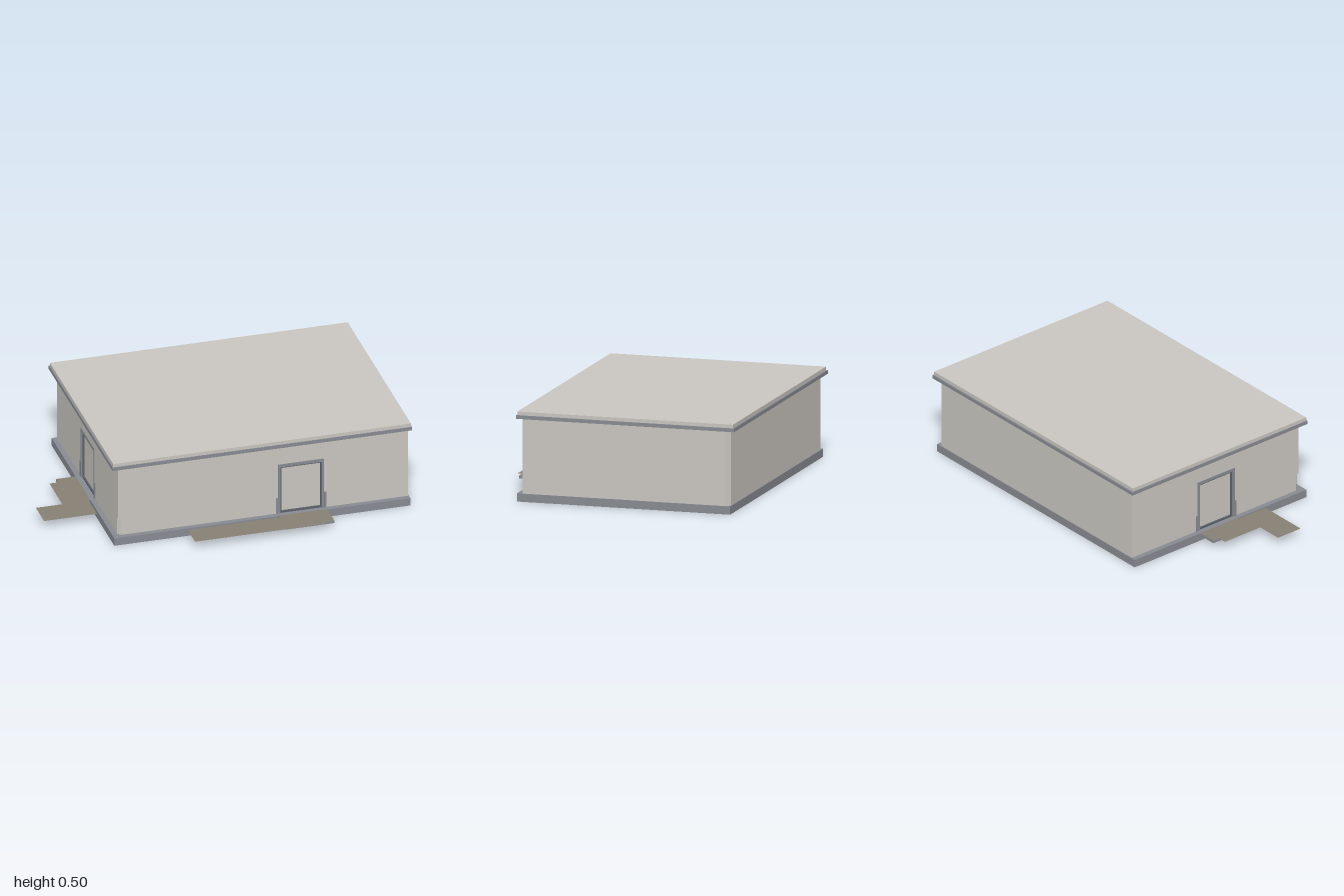
import * as THREE from 'three';

const mat = (name, color, side = THREE.FrontSide) => {
  const m = new THREE.MeshStandardMaterial({ color, side });
  m.name = name;
  return m;
};

export function createModel() {
  const model = new THREE.Group();
  model.name = 'building';
  const wall = mat('warm plaster', 0xc9c6c0);
  const trim = mat('slate trim', 0x878a91);
  const dark = mat('dark frame', 0x5c616a);
  const paving = mat('brown paving', 0x877f74, THREE.DoubleSide);

  // Box given by its minimum and maximum corners
  const box = (name, material, [x0, y0, z0], [x1, y1, z1], parent = model) => {
    const g = new THREE.BoxGeometry(x1 - x0, y1 - y0, z1 - z0);
    g.translate((x0 + x1) / 2, (y0 + y1) / 2, (z0 + z1) / 2);
    const m = new THREE.Mesh(g, material);
    m.name = name;
    parent.add(m);
  };

  // Floor plan of [x, z] corners raised from y0 to y1
  const storey = (name, points, y0, y1) => {
    const shape = new THREE.Shape(points.map(([x, z]) => new THREE.Vector2(x, -z)));
    const g = new THREE.ExtrudeGeometry(shape, { depth: y1 - y0, bevelEnabled: false });
    g.rotateX(-Math.PI / 2).translate(0, y0, 0);
    const m = new THREE.Mesh(g, wall);
    m.name = name;
    model.add(m);
  };

  // Foundation and two-step flat roof
  box('foundation', trim, [-0.69, 0, -0.675], [0.985, 0.045, 0.54]);
  box('eaves', trim, [-0.7, 0.46, -0.7], [0.995, 0.48, 0.54]);
  box('roof', wall, [-0.695, 0.48, -0.692], [0.99, 0.5, 0.535]);

  // Walls, with a recess for each door and a clipped lower corner
  const X0 = -0.66, X1 = 0.98, Z0 = -0.67, Z1 = 0.51, c = 0.025, d = 0.025;
  const back = [[X0, Z0], [X1 - c, Z0], [X1, Z0 + c], [X1, Z1]];
  const frontRecess = [[0.495, Z1], [0.495, Z1 - d], [0.255, Z1 - d], [0.255, Z1]];
  const sideRecess = [[X0, 0.045], [X0 + d, 0.045], [X0 + d, -0.195], [X0, -0.195]];
  const corner = [[X0, Z1]], clipped = [[X0 + 0.018, Z1], [X0, Z1 - 0.018]];
  storey('lowerWalls', [...back, ...frontRecess, ...clipped, ...sideRecess], 0.045, 0.145);
  storey('middleWalls', [...back, ...frontRecess, ...corner, ...sideRecess], 0.145, 0.33);
  storey('upperWalls', [...back, ...corner], 0.33, 0.46);

  // Doorway around x = 0 facing +z, its wall face on z = 0
  const doorway = (name) => {
    const g = new THREE.Group();
    g.name = name;
    for (const s of [-1, 1]) {
      const span = (a, b) => [Math.min(s * a, s * b), Math.max(s * a, s * b)];
      const [a0, a1] = span(0.117, 0.13);
      box('doorJamb', trim, [a0, 0.045, -d], [a1, 0.345, 0.004], g);
      const [b0, b1] = span(0.11, 0.118);
      box('doorLining', dark, [b0, 0.045, -d], [b1, 0.33, -0.003], g);
      const [c0, c1] = span(0.13, 0.142);
      box('doorGuard', trim, [c0, 0.045, -0.005], [c1, 0.14, 0.005], g);
    }
    box('doorHead', trim, [-0.13, 0.328, -d], [0.13, 0.345, 0.004], g);
    box('doorHeadLining', dark, [-0.118, 0.32, -d], [0.118, 0.329, -0.003], g);
    box('doorSill', dark, [-0.118, 0.045, -d], [0.118, 0.056, -0.003], g);
    box('doorLeaf', wall, [-0.11, 0.056, -d], [0.11, 0.32, -0.012], g);
    model.add(g);
    return g;
  };
  doorway('frontDoor').position.set(0.375, 0, Z1);
  const sideDoor = doorway('sideDoor');
  sideDoor.rotation.y = -Math.PI / 2;
  sideDoor.position.set(X0, 0, -0.075);

  // Landings outside the doors
  box('frontLanding', trim, [0.24, 0.03, 0.54], [0.515, 0.045, 0.675]);
  box('sideLanding', trim, [-0.8, 0.03, -0.21], [-0.69, 0.045, 0.065]);

  // Paving sheets: x0, z0, x1, z1, height
  const sheets = [
    ['frontLandingPaving', 0.24, 0.54, 0.515, 0.675, 0.0465],
    ['frontPath', -0.28, 0.56, 0.46, 0.7, 0.0458],
    ['sideLandingPaving', -0.8, -0.21, -0.69, 0.065, 0.0465],
    ['sidePath', -0.85, -0.17, -0.7, 0.24, 0.0458],
    ['sidePathBranch', -1, 0.08, -0.85, 0.24, 0.0458],
  ];
  for (const [name, x0, z0, x1, z1, y] of sheets) {
    const g = new THREE.PlaneGeometry(x1 - x0, z1 - z0).rotateX(-Math.PI / 2);
    const m = new THREE.Mesh(g, paving);
    m.name = name;
    m.position.set((x0 + x1) / 2, y, (z0 + z1) / 2);
    model.add(m);
  }
  return model;
}
